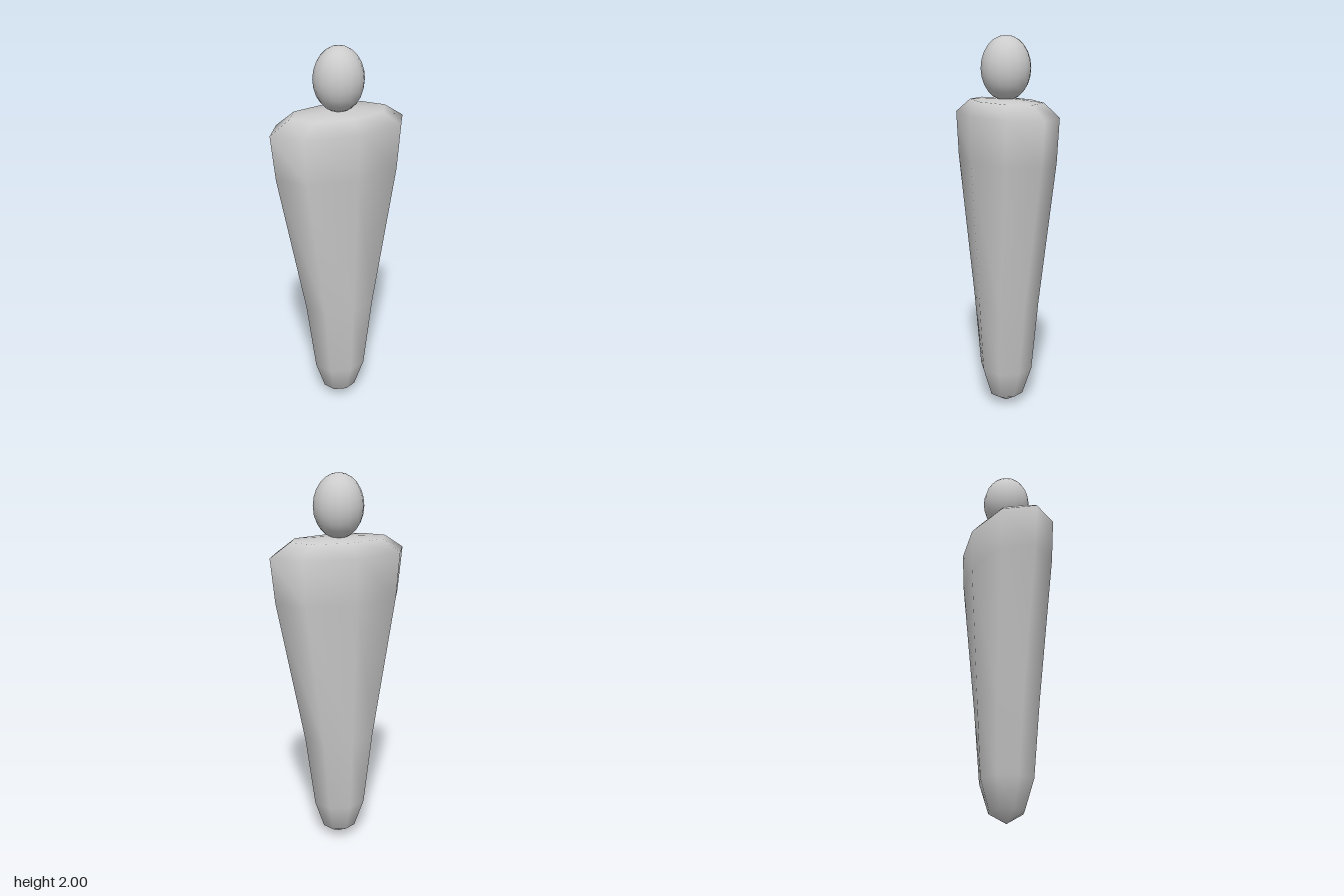
import * as THREE from 'three';
import { mergeVertices } from 'three/addons/utils/BufferGeometryUtils.js';

// Body rings from bottom to top: [height, half width, half depth]
const RINGS = [
  [0, 0, 0],
  [0.055, 0.092, 0.092],
  [0.21, 0.145, 0.14],
  [0.6, 0.2, 0.163],
  [1.37, 0.355, 0.206],
  [1.6, 0.38, 0.21],
  [1.67, 0.27, 0.15],
  [1.685, 0, 0],
];

// Eight-sided lathe, with each ring flattened to its own depth
function bodyGeometry() {
  const profile = RINGS.map(([y, w]) => new THREE.Vector2(w, y));
  const geo = new THREE.LatheGeometry(profile, 8);
  const pos = geo.attributes.position;
  for (let i = 0; i < pos.count; i++) {
    const [, w, d] = RINGS[i % RINGS.length];
    const x = pos.getX(i);
    const z = pos.getZ(i);
    // the diagonal corners sit slightly outside the ellipse
    const bulge = Math.abs(x * z) > 1e-6 ? 1.024 : 1;
    pos.setX(i, x * bulge);
    pos.setZ(i, w > 0 ? z * bulge * d / w : 0);
  }
  // weld the seam so the shading is smooth all round
  geo.deleteAttribute('uv');
  geo.deleteAttribute('normal');
  const welded = mergeVertices(geo, 1e-4);
  welded.computeVertexNormals();
  return welded;
}

export function createModel() {
  const group = new THREE.Group();
  group.name = 'figure';
  const material = new THREE.MeshStandardMaterial({ color: 0xcccccc });

  // Tapering body with broad shoulders
  const body = new THREE.Mesh(bodyGeometry(), material);
  body.name = 'body';
  group.add(body);

  // Egg-shaped head resting on the shoulders
  const headGeo = new THREE.SphereGeometry(1, 16, 12);
  headGeo.scale(0.13, 0.165, 0.13);
  const head = new THREE.Mesh(headGeo, material);
  head.name = 'head';
  head.position.y = 1.835;
  group.add(head);

  return group;
}
